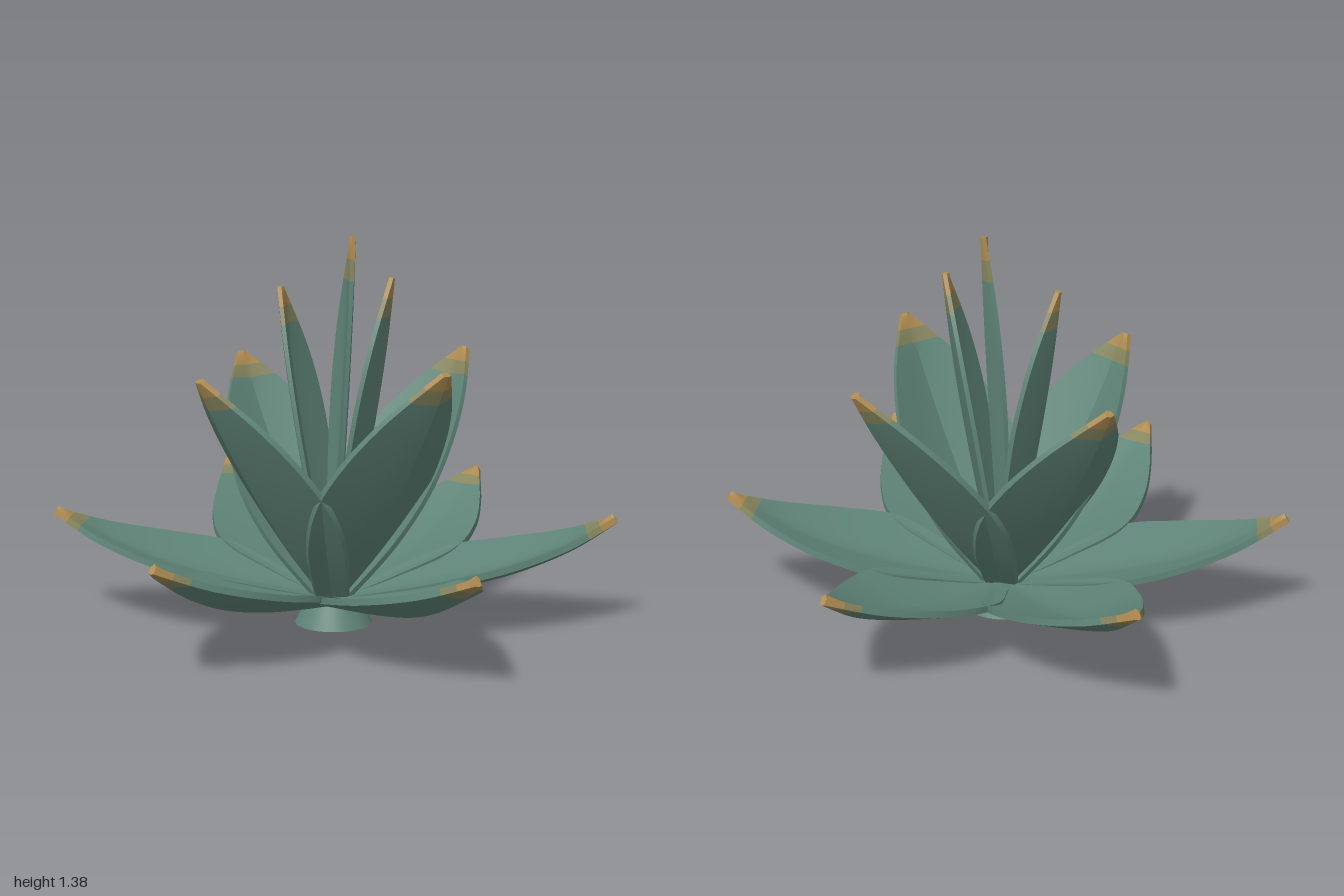
import * as THREE from 'three';
import { toCreasedNormals } from 'three/addons/utils/BufferGeometryUtils.js';

const leafGreen = new THREE.MeshStandardMaterial({ color: 0x5f8478 });
leafGreen.name = 'leaf green';
const fadedGreen = new THREE.MeshStandardMaterial({ color: 0x86855e });
fadedGreen.name = 'faded green';
const tipTan = new THREE.MeshStandardMaterial({ color: 0xac8a50 });
tipTan.name = 'tip tan';

const SECTIONS = 40, ACROSS = 10, CROWN = 0.07;

// Cupped, folded leaf: spine lies in the (radius, height) plane,
// widths are relative half widths from root to tip
function leafGeometry(spinePoints, widths, halfWidth, cup, thickness) {
  const spine = new THREE.SplineCurve(spinePoints.map(([r, y]) => new THREE.Vector2(r, y)));
  const outline = new THREE.SplineCurve(
    widths.map((w, i) => new THREE.Vector2(i / (widths.length - 1), w)));
  const pos = [], index = [];
  const ring = 2 * (ACROSS + 1);
  for (let i = 0; i <= SECTIONS; i++) {
    const t = i / SECTIONS;
    const p = spine.getPoint(t), d = spine.getTangent(t);
    const w = halfWidth * outline.getPoint(t).y;
    for (let j = 0; j < ring; j++) {
      const top = j <= ACROSS;
      const u = ((top ? j : ring - 1 - j) / ACROSS) * 2 - 1;
      const a = Math.abs(u);
      const lift = cup * w * Math.pow(a, 1.1) + (top ? thickness * (1 - 0.4 * a) : 0);
      pos.push(p.x - d.y * lift, p.y + d.x * lift, u * w);
    }
  }
  for (let i = 0; i < SECTIONS; i++) {
    for (let j = 0; j < ring; j++) {
      const k = (j + 1) % ring;
      const a = i * ring + j, b = i * ring + k, c = a + ring, e = b + ring;
      index.push(a, b, c, b, e, c);
    }
  }
  // Close the blunt tip
  const last = SECTIONS * ring, end = spine.getPoint(1), dir = spine.getTangent(1);
  pos.push(end.x - dir.y * thickness / 2, end.y + dir.x * thickness / 2, 0);
  for (let j = 0; j < ring; j++) index.push(last + j, last + (j + 1) % ring, last + ring);

  const g = new THREE.BufferGeometry();
  g.setAttribute('position', new THREE.Float32BufferAttribute(pos, 3));
  g.setIndex(index);
  // Colour bands along the length
  const perSection = ring * 6, fade = 35 * perSection, tan = 37 * perSection;
  g.addGroup(0, fade, 0);
  g.addGroup(fade, tan - fade, 1);
  g.addGroup(tan, index.length - tan, 2);
  return toCreasedNormals(g, 0.4);
}

// Shape gives the spine as fractions of the tip radius and the rise above the crown
function addWhorl(parent, name, tips, shape, widths, cup, thickness) {
  const whorl = new THREE.Group();
  whorl.name = name + 'Whorl';
  for (const [x, y, z, halfWidth] of tips) {
    const r = Math.hypot(x, z);
    const pts = shape.map(([fr, fy]) => [fr * r, CROWN + fy * (y - CROWN)]);
    const leaf = new THREE.Mesh(leafGeometry(pts, widths, halfWidth, cup, thickness),
      [leafGreen, fadedGreen, tipTan]);
    leaf.name = name + 'Leaf';
    leaf.rotation.y = -Math.atan2(z, x);
    whorl.add(leaf);
  }
  parent.add(whorl);
}

export function createModel() {
  const plant = new THREE.Group();
  plant.name = 'succulentPlant';

  // Flared stem under the rosette
  const stem = new THREE.Mesh(new THREE.CylinderGeometry(0.1, 0.138, 0.08, 32), leafGreen);
  stem.name = 'stem';
  stem.position.y = 0.04;
  plant.add(stem);

  // Low spreading leaves: tip x, y, z and half width
  addWhorl(plant, 'outer', [
    [0, 0.39, 1, 0.255], [0.9, 0.38, 0.5, 0.255], [0.86, 0.38, -0.52, 0.255],
    [0, 0.38, -1, 0.255], [-0.9, 0.4, -0.54, 0.255], [-0.89, 0.37, 0.49, 0.255],
  ], [[0.02, -0.02], [0.2, 0.06], [0.42, 0.19], [0.64, 0.38], [0.84, 0.66], [1, 1]],
  [0.18, 0.58, 1, 0.85, 0.47, 0.04], 0.29, 0.038);

  // Steep broad leaves
  addWhorl(plant, 'middle', [
    [-0.18, 0.92, 0.54, 0.25], [0.57, 0.96, 0.155, 0.25],
    [0.18, 0.93, -0.61, 0.25], [-0.57, 0.9, -0.195, 0.25],
  ], [[0.04, 0], [0.27, 0.19], [0.48, 0.39], [0.67, 0.59], [0.85, 0.8], [1, 1]],
  [0.3, 0.78, 1, 0.9, 0.57, 0.06], 0.38, 0.032);

  // Upright heart leaves
  addWhorl(plant, 'inner', [
    [-0.2, 1.2, 0.06, 0.14], [0.19, 1.24, -0.1, 0.14], [0.05, 1.38, -0.065, 0.075],
  ], [[0.1, 0], [0.32, 0.2], [0.53, 0.4], [0.72, 0.6], [0.88, 0.8], [1, 1]],
  [0.3, 0.7, 0.95, 1, 0.72, 0.08], 0.38, 0.026);

  return plant;
}
